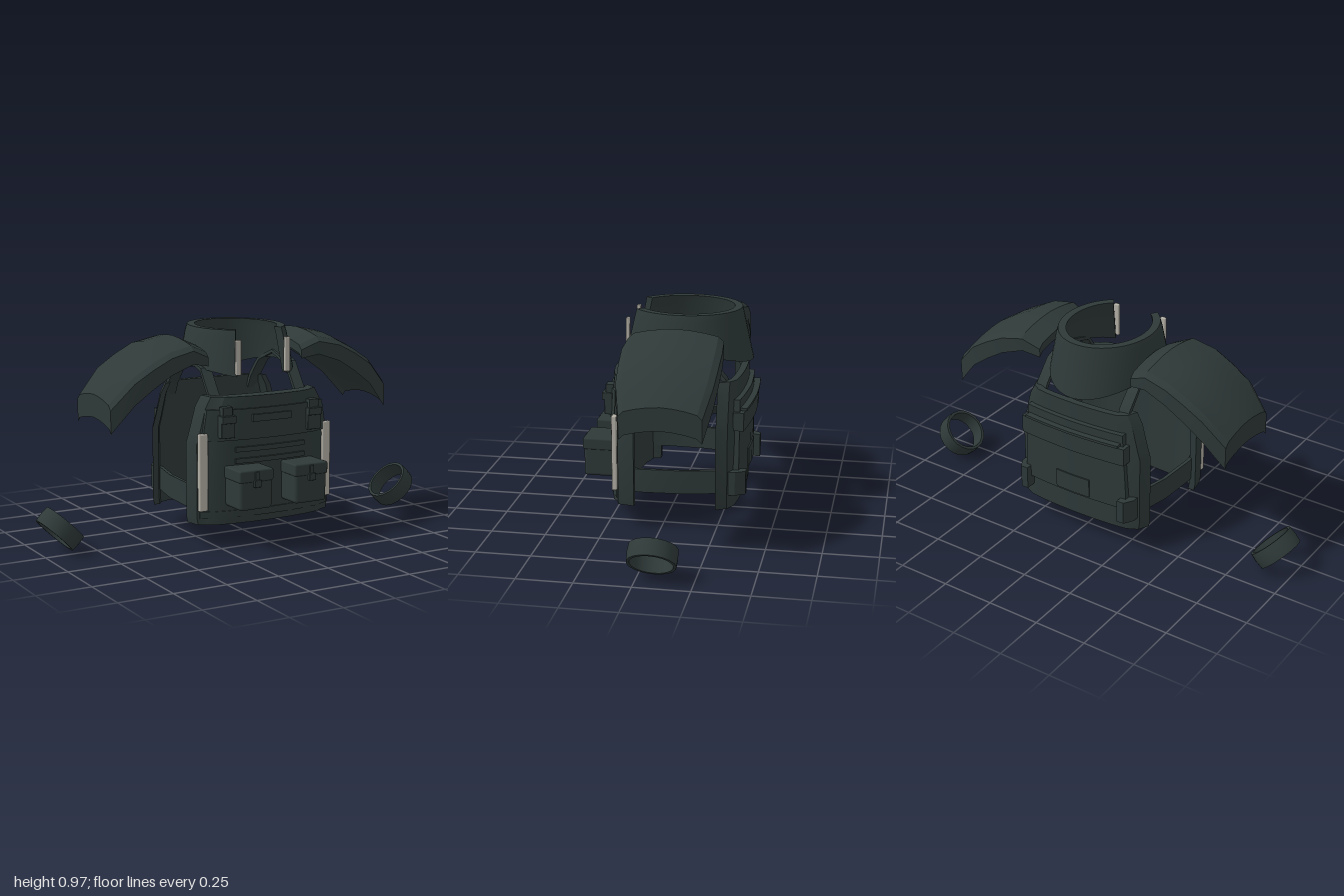
import * as THREE from 'three';
import { toCreasedNormals } from 'three/addons/utils/BufferGeometryUtils.js';
import { RoundedBoxGeometry } from 'three/addons/geometries/RoundedBoxGeometry.js';

// Linear interpolation through paired lists
function lerpList(xs, ys, x) {
  for (let i = 1; i < xs.length; i++) {
    if (x <= xs[i]) return ys[i - 1] + (ys[i] - ys[i - 1]) * (x - xs[i - 1]) / (xs[i] - xs[i - 1]);
  }
  return ys[ys.length - 1];
}

// Closed thick sheet: f(u, v, s) gives a point, s = 0 inner face, s = 1 outer face
function slab(us, vs, f, crease = 0.5) {
  const pos = [];
  const quad = (a, b, c, d) => pos.push(...a, ...b, ...c, ...a, ...c, ...d);
  const nu = us.length - 1, nv = vs.length - 1;
  const P = (i, j, s) => f(us[i], vs[j], s);
  for (let i = 0; i < nu; i++) for (let j = 0; j < nv; j++) {
    quad(P(i, j, 1), P(i + 1, j, 1), P(i + 1, j + 1, 1), P(i, j + 1, 1));
    quad(P(i, j, 0), P(i, j + 1, 0), P(i + 1, j + 1, 0), P(i + 1, j, 0));
  }
  for (let i = 0; i < nu; i++) {
    quad(P(i, 0, 0), P(i + 1, 0, 0), P(i + 1, 0, 1), P(i, 0, 1));
    quad(P(i, nv, 1), P(i + 1, nv, 1), P(i + 1, nv, 0), P(i, nv, 0));
  }
  for (let j = 0; j < nv; j++) {
    quad(P(0, j, 0), P(0, j, 1), P(0, j + 1, 1), P(0, j + 1, 0));
    quad(P(nu, j, 1), P(nu, j, 0), P(nu, j + 1, 0), P(nu, j + 1, 1));
  }
  // Turn the sheet outward if its signed volume is negative
  let vol = 0;
  const a = new THREE.Vector3(), b = new THREE.Vector3(), c = new THREE.Vector3();
  for (let k = 0; k < pos.length; k += 9) {
    vol += a.fromArray(pos, k).dot(b.fromArray(pos, k + 3).cross(c.fromArray(pos, k + 6)));
  }
  if (vol < 0) for (let k = 0; k < pos.length; k += 9) for (let m = 0; m < 3; m++) {
    [pos[k + 3 + m], pos[k + 6 + m]] = [pos[k + 6 + m], pos[k + 3 + m]];
  }
  const g = new THREE.BufferGeometry();
  g.setAttribute('position', new THREE.Float32BufferAttribute(pos, 3));
  return toCreasedNormals(g, crease);
}

const range = (a, b, n) => Array.from({ length: n + 1 }, (_, i) => a + (b - a) * i / n);
const mirrored = (xs) => [...xs.slice(1).reverse().map((x) => -x), ...xs];

export function createModel() {
  const group = new THREE.Group();
  const cloth = new THREE.MeshStandardMaterial({ color: 0x2e3938 });
  cloth.name = 'dark green grey';
  const pale = new THREE.MeshStandardMaterial({ color: 0xb4b1a7 });
  pale.name = 'pale stone';
  const add = (name, geo, mat = cloth) => {
    const m = new THREE.Mesh(geo, mat);
    m.name = name;
    group.add(m);
    return m;
  };

  // Curved chest and back panels, narrowing towards the top
  const front = { xs: [0, 0.1, 0.2, 0.28, 0.305, 0.345, 0.36], zs: [0.26, 0.257, 0.247, 0.23, 0.21, 0.195, 0.12] };
  const back = { xs: [0, 0.1, 0.2, 0.27, 0.32, 0.345], zs: [-0.342, -0.34, -0.334, -0.325, -0.3, -0.25] };
  const rowY = [0.11, 0.14, 0.48, 0.53, 0.64, 0.69];
  const rowW = [0.985, 1, 1, 0.955, 0.87, 0.79];
  const surface = (p, x) => lerpList(p.xs, p.zs, Math.abs(x));
  const panel = (name, p, depth) => {
    const edge = p.zs[p.zs.length - 1];
    add(name, slab(mirrored(p.xs), rowY, (x, y, s) => {
      const z = surface(p, x), w = lerpList(rowY, rowW, y);
      return [x * w * (s ? 1 : 0.91), y, s ? z : edge + (z - edge) * depth];
    }));
  };
  panel('chestPanel', front, 0.5);
  panel('backPanel', back, 0.65);

  // Plates that follow a curve; the back cover is flatter than its panel
  const cover = { xs: [0, 0.1, 0.2, 0.29], zs: [-0.35, -0.347, -0.34, -0.33] };
  const plate = (name, p, half, y0, y1, t, topScale = 1) => {
    const d = Math.sign(p.zs[0]);
    add(name, slab(range(-half, half, 8), [y0, y1], (x, y, s) =>
      [x * (y === y1 ? topScale : 1), y, surface(p, x) + d * (s ? t : -0.012)]));
  };
  plate('chestFlap', front, 0.325, 0.495, 0.635, 0.01, 0.93);
  plate('chestBottomTrim', front, 0.335, 0.14, 0.172, 0.006);
  plate('chestSlot', front, 0.1, 0.575, 0.608, 0.02);
  plate('webbingUpper', front, 0.18, 0.44, 0.462, 0.012);
  plate('webbingLower', front, 0.18, 0.388, 0.41, 0.012);
  plate('backCover', cover, 0.28, 0.23, 0.61, 0.016, 0.92);
  plate('backFlap', cover, 0.278, 0.47, 0.555, 0.036);
  plate('backHandle', cover, 0.25, 0.558, 0.57, 0.044);
  plate('backLowerPocket', cover, 0.09, 0.24, 0.33, 0.022);

  for (const s of [-1, 1]) {
    const side = s < 0 ? 'right' : 'left';
    const box = (name, x0, x1, y0, y1, z0, z1, radius = 0.003, mat = cloth) => {
      const m = add(side + name, new RoundedBoxGeometry(x1 - x0, y1 - y0, z1 - z0, 2, radius), mat);
      m.position.set(s * (x0 + x1) / 2, (y0 + y1) / 2, (z0 + z1) / 2);
    };

    // Chest buckles
    box('BucklePad', 0.19, 0.26, 0.51, 0.59, 0.235, 0.272);
    box('BuckleClip', 0.19, 0.26, 0.578, 0.612, 0.235, 0.284);
    box('BuckleStrap', 0.2, 0.25, 0.6, 0.65, 0.23, 0.268);

    // Pouches with flap and catch
    box('Pouch', 0.06, 0.226, 0.197, 0.37, 0.235, 0.38, 0.015);
    box('PouchFlap', 0.056, 0.23, 0.325, 0.38, 0.237, 0.384, 0.008);
    box('PouchCatch', 0.125, 0.16, 0.302, 0.335, 0.375, 0.396);
    box('PouchTongue', 0.132, 0.153, 0.33, 0.372, 0.375, 0.39);

    // Pale strips on chest and collar
    box('ChestStrip', 0.302, 0.346, 0.176, 0.53, 0.2, 0.224, 0.006, pale);
    box('CollarStrip', 0.114, 0.142, 0.775, 0.935, 0.178, 0.195, 0.005, pale);

    // Side belt joining the panels, and its end tab
    add(side + 'Belt', slab([0.2, 0.1, -0.1, -0.29], [0.175, 0.285], (z, y, o) =>
      [s * (lerpList([-0.29, -0.1, 0.1, 0.2], [0.285, 0.325, 0.335, 0.31], z) + (o ? 0.008 : -0.008)), y, z]));
    add(side + 'BeltTab', slab([0.25, 0.285, 0.312], [0.175, 0.285], (x, y, o) =>
      [s * x, y, o ? (x > 0.3 ? -0.335 : -0.38) : -0.3]));

    // Shoulder strap arching from chest to back
    const zs = [-0.31, -0.28, -0.2, -0.07, 0.06, 0.13, 0.17];
    const ys = [0.64, 0.7, 0.79, 0.84, 0.8, 0.7, 0.65];
    add(side + 'ShoulderStrap', slab([0.198, 0.252], zs, (x, z, o) =>
      [s * x, lerpList(zs, ys, z) + (o ? 0 : -0.015), z + (o ? 0 : (-0.07 - z) * 0.06)]));

    // Shoulder pad: stepped arc outward, crowned across its width
    const px = [0.245, 0.33, 0.44, 0.53, 0.62, 0.724];
    const top = [0.905, 0.942, 0.918, 0.872, 0.815, 0.702];
    const thick = [0.04, 0.06, 0.075, 0.085, 0.095, 0.105];
    const half = [0.195, 0.213, 0.221, 0.218, 0.211, 0.18];
    const cu = [0, 0.3, 0.6, 0.88, 1], drop = [0, 0.004, 0.013, 0.026, 0.048];
    add(side + 'ShoulderPad', slab(px, mirrored(cu), (x, v, o) => [
      s * x,
      lerpList(px, top, x) - lerpList(cu, drop, Math.abs(v)) - (o ? 0 : lerpList(px, thick, x)),
      -0.07 + v * lerpList(px, half, x),
    ], 0.3));

    // Tilted arm band
    const profile = [[0.094, -0.039], [0.107, -0.039], [0.11, 0], [0.107, 0.039], [0.094, 0.039], [0.094, -0.039]];
    const band = new THREE.LatheGeometry(profile.map((p) => new THREE.Vector2(...p)), 20);
    const ring = add(side + 'ArmBand', toCreasedNormals(band, 0.6));
    ring.position.set(s * 0.9, 0.105, -0.07);
    ring.rotation.z = s * Math.PI / 4;
  }

  // Flared collar, open at the front, lower at the back
  const gap = 0.58;
  add('collar', slab(range(gap, Math.PI * 2 - gap, 40), [0, 0.85, 1], (a, v, o) => {
    const c = Math.cos(a);
    const low = 0.8 - (c < 0 ? 0.065 : 0.045) * c * c;
    const inset = o ? 0 : 0.036;
    return [
      (0.252 - 0.034 * v * v - inset) * Math.sin(a),
      low + (0.975 - low) * v,
      -0.065 + (0.308 - 0.053 * v - inset) * c,
    ];
  }));

  return group;
}
